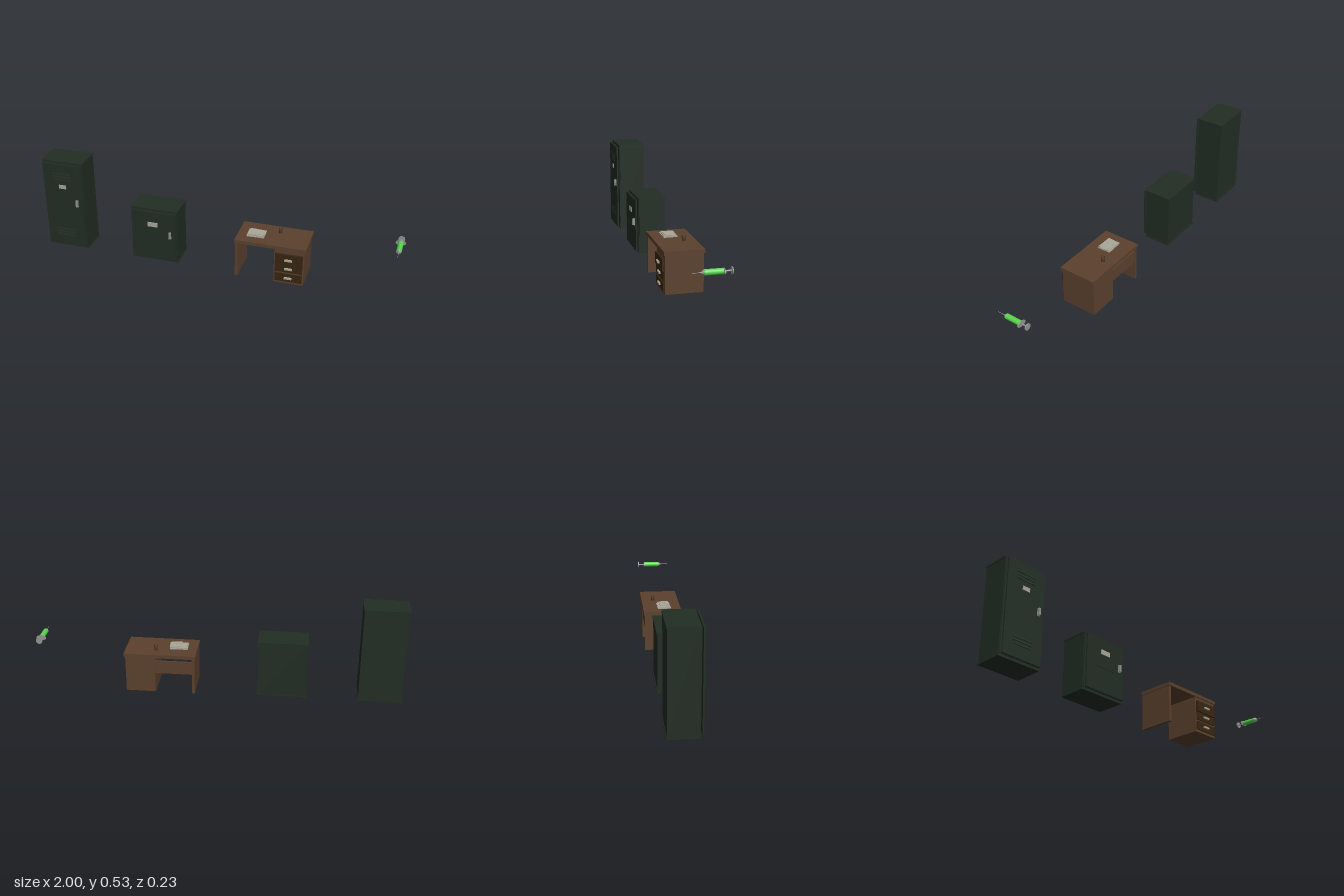
import * as THREE from 'three';

const mat = (name, color, side = THREE.FrontSide) => {
  const m = new THREE.MeshStandardMaterial({ color, side });
  m.name = name;
  return m;
};

export function createModel() {
  const green = mat('darkGreenPaint', 0x222d24);
  const wood = mat('brownWood', 0x5c412e, THREE.DoubleSide);
  const darkWood = mat('darkWood', 0x392611);
  const paper = mat('paper', 0xaaa899);
  const metal = mat('greyMetal', 0x949494);
  const fluid = mat('brightGreen', 0x58d64a);

  const root = new THREE.Group();
  root.name = 'officeSet';
  const group = (name) => {
    const g = new THREE.Group();
    g.name = name;
    root.add(g);
    return g;
  };

  // Box given by its limits on each axis
  const box = (parent, name, m, [x0, x1], [y0, y1], [z0, z1]) => {
    const mesh = new THREE.Mesh(new THREE.BoxGeometry(x1 - x0, y1 - y0, z1 - z0), m);
    mesh.position.set((x0 + x1) / 2, (y0 + y1) / 2, (z0 + z1) / 2);
    mesh.name = name;
    parent.add(mesh);
    return mesh;
  };

  // Cabinet: carcass, caps, front frame and a door standing just off the frame
  const cabinet = (name, x0, x1, h) => {
    const g = group(name);
    box(g, 'body', green, [x0 + 0.003, x1 - 0.003], [0.008, h - 0.007], [-0.086, 0.062]);
    for (const y of [0, h - 0.008]) {
      box(g, 'cap', green, [x0, x1], [y, y + 0.008], [-0.09, 0.064]);
    }
    box(g, 'frontFrame', green, [x0 + 0.006, x1 - 0.006], [0.014, h - 0.015], [0.06, 0.066]);
    box(g, 'door', green, [x0 + 0.01, x1 - 0.007], [0.012, h - 0.01], [0.073, 0.082]);
    return g;
  };
  const louver = (g, x0, x1, y) => {
    const slat = box(g, 'louver', green, [x0, x1], [y - 0.004, y + 0.004], [0.08, 0.086]);
    // Slope the upper front edge back toward the door
    const p = slat.geometry.attributes.position;
    for (let i = 0; i < p.count; i++) if (p.getZ(i) > 0 && p.getY(i) > 0) p.setZ(i, 0.001);
    slat.geometry.computeVertexNormals();
  };
  const pull = (g, x0, x1, y0, y1) => {
    box(g, 'handlePlate', metal, [x0, x1], [y0, y1], [0.08, 0.086]);
    box(g, 'handleGrip', metal, [x0 + 0.002, x1 - 0.002], [y0 + 0.003, y1 - 0.001], [0.086, 0.095]);
  };

  // Tall locker
  const locker = cabinet('tallLocker', -1, -0.76, 0.53);
  for (const y of [0.465, 0.447, 0.429, 0.118, 0.1, 0.082]) louver(locker, -0.935, -0.825, y);
  box(locker, 'labelPlate', paper, [-0.9, -0.858], [0.374, 0.396], [0.08, 0.086]);
  pull(locker, -0.805, -0.791, 0.272, 0.313);

  // Low locker
  const low = cabinet('lowLocker', -0.486, -0.217, 0.318);
  box(low, 'labelPlate', paper, [-0.382, -0.324], [0.219, 0.245], [0.08, 0.086]);
  box(low, 'seam', green, [-0.425, -0.285], [0.145, 0.149], [0.081, 0.084]);
  pull(low, -0.26, -0.247, 0.158, 0.199);

  // Desk
  const desk = group('desk');
  box(desk, 'desktop', wood, [0.115, 0.505], [0.206, 0.225], [-0.112, 0.099]);
  box(desk, 'legPanel', wood, [0.119, 0.134], [0, 0.206], [-0.107, 0.093]);
  box(desk, 'pedestal', wood, [0.335, 0.497], [0, 0.206], [-0.107, 0.093]);
  box(desk, 'backPanel', wood, [0.134, 0.335], [0.112, 0.185], [-0.103, -0.093]);
  // Drawers, the top one slightly pulled out
  for (const [y0, y1, z] of [[0.121, 0.183, 0.105], [0.072, 0.119, 0.099], [0.014, 0.062, 0.099]]) {
    box(desk, 'drawer', darkWood, [0.342, 0.49], [y0, y1], [0.09, z]);
    const y = (y0 + y1) / 2;
    box(desk, 'drawerHandle', paper, [0.395, 0.436], [y - 0.005, y + 0.005], [z - 0.001, z + 0.009]);
  }

  // Stack of loose sheets on the desk: width, depth, thickness, x, z, turn
  const papers = group('papers');
  let y = 0.225;
  for (const [w, d, t, x, z, turn] of [
    [0.095, 0.074, 0.006, 0.215, 0.005, 0.03],
    [0.09, 0.068, 0.005, 0.217, 0.004, -0.06],
    [0.075, 0.045, 0.003, 0.229, 0.006, 0.08],
    [0.06, 0.018, 0.002, 0.232, 0.025, 0.04],
  ]) {
    const sheet = box(papers, 'sheet', paper, [x - w / 2, x + w / 2], [y, y + t], [z - d / 2, z + d / 2]);
    sheet.rotation.y = turn;
    y += t;
  }

  // Open mug
  const mug = new THREE.Mesh(new THREE.LatheGeometry(
    [[0, 0], [0.01, 0], [0.011, 0.027], [0.009, 0.027], [0.008, 0.004], [0, 0.004]]
      .map(([r, h]) => new THREE.Vector2(r, h)), 16), wood);
  mug.position.set(0.336, 0.225, -0.047);
  mug.name = 'mug';
  root.add(mug);

  // Syringe lying along z, needle to the front
  const syringe = group('syringe');
  syringe.position.set(0.973, 0.267, 0);
  const rod = (name, m, rBack, rFront, z0, z1) => {
    const mesh = new THREE.Mesh(new THREE.CylinderGeometry(rFront, rBack, z1 - z0, 20), m);
    mesh.rotation.x = Math.PI / 2;
    mesh.position.z = (z0 + z1) / 2;
    mesh.name = name;
    syringe.add(mesh);
    return mesh;
  };
  rod('barrel', fluid, 0.0143, 0.0143, -0.052, 0.038);
  rod('barrelTip', metal, 0.013, 0.007, 0.038, 0.048);
  rod('needleHub', metal, 0.004, 0.002, 0.048, 0.056);
  rod('needle', metal, 0.0014, 0.0008, 0.056, 0.094);
  const flange = rod('fingerFlange', metal, 0.0145, 0.0145, -0.056, -0.051);
  flange.scale.x = 1.86;
  rod('plungerRod', metal, 0.004, 0.004, -0.09, -0.056);
  rod('thumbPad', metal, 0.018, 0.018, -0.094, -0.089);

  return root;
}
